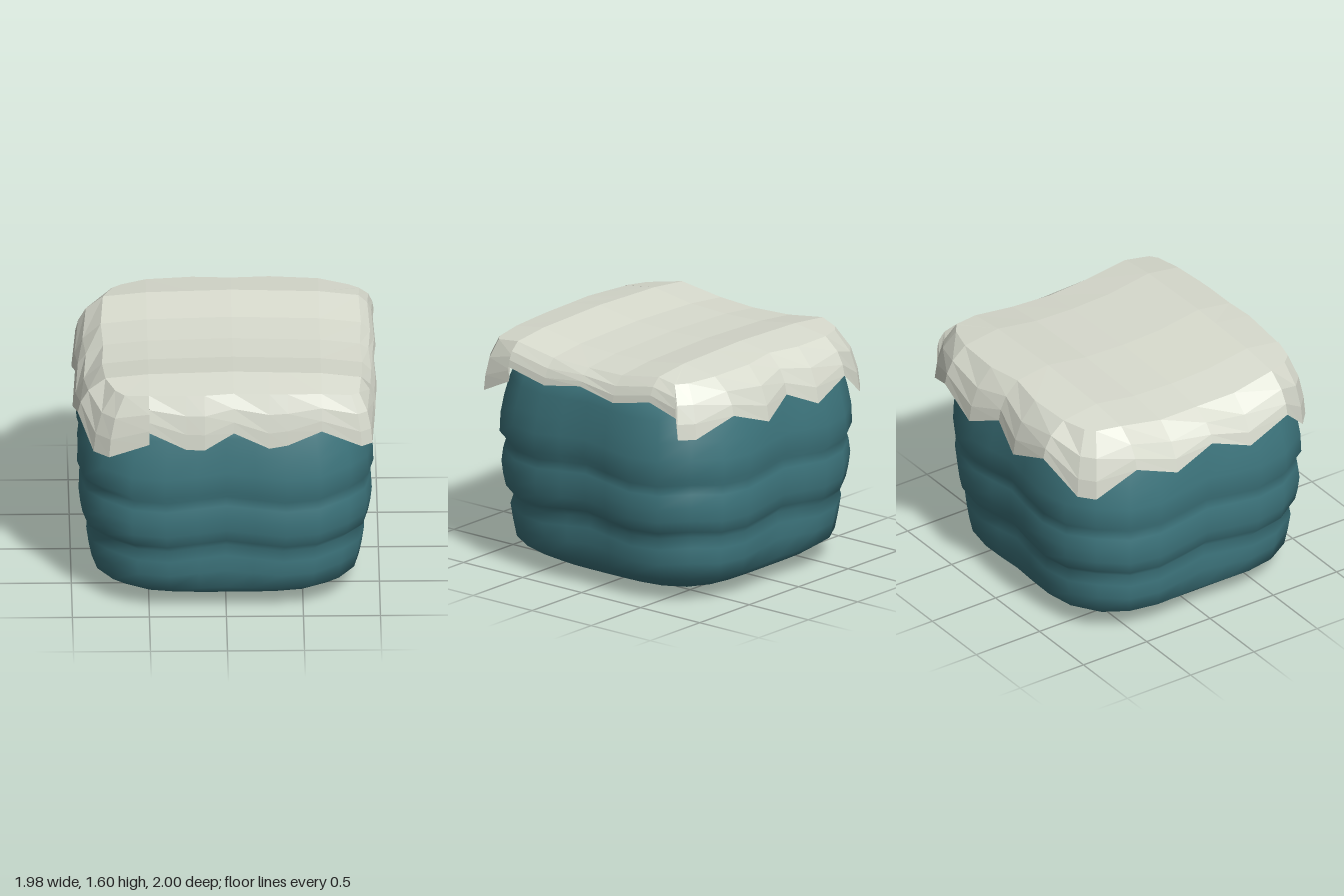
import * as THREE from 'three';

const lerp = (a, b, t) => a + (b - a) * t;
const clamp = THREE.MathUtils.clamp;

// piecewise linear lookup in a list of [key, value]
function lookup(table, k) {
  if (k <= table[0][0]) return table[0][1];
  for (let i = 1; i < table.length; i++) {
    const [a, va] = table[i - 1], [b, vb] = table[i];
    if (k <= b) return lerp(va, vb, (k - a) / (b - a));
  }
  return table[table.length - 1][1];
}

// Layered rock block: rounded-square rings stacked along a bulging profile
function makeRock(material) {
  const profile = [
    [0.05, 0.70], [0.09, 0.78], [0.16, 0.875], [0.27, 0.895], [0.38, 0.91], [0.45, 0.89],
    [0.50, 0.935], [0.58, 0.95], [0.67, 0.96], [0.76, 0.95], [0.82, 0.935], [0.87, 0.97],
    [1.0, 0.965], [1.12, 0.945], [1.25, 0.915], [1.4, 0.865], [1.44, 0.7],
  ];
  const N = 32, zMid = 0.04, power = 3.9;
  const pos = [0, 0.0, zMid], idx = [];
  for (const [y, half] of profile) {
    const layered = clamp((y - 0.1) / 0.2, 0, 1) * clamp((1.35 - y) / 0.2, 0, 1);
    for (let i = 0; i < N; i++) {
      const a = (i / N) * Math.PI * 2;
      const c = Math.sin(a), s = Math.cos(a);
      const k = Math.pow(Math.abs(c) ** power + Math.abs(s) ** power, -1 / power);
      const u = Math.min(Math.abs(c), Math.abs(s)) * k;
      // shallow hollow in the middle of each side, ridges rising towards it
      const r = k * (half - 0.035 * layered * Math.exp(-((u / 0.2) ** 2)));
      const dy = 0.02 * layered * Math.cos(u * Math.PI * 2);
      pos.push(c * r, y + dy, zMid + s * r);
    }
  }
  const rings = profile.length, top = pos.length / 3;
  pos.push(0, 1.44, zMid);
  const at = (r, i) => 1 + r * N + (i % N);
  for (let i = 0; i < N; i++) {
    idx.push(0, at(0, i + 1), at(0, i));
    idx.push(top, at(rings - 1, i), at(rings - 1, i + 1));
    for (let r = 0; r < rings - 1; r++) {
      idx.push(at(r, i), at(r, i + 1), at(r + 1, i + 1), at(r, i), at(r + 1, i + 1), at(r + 1, i));
    }
  }
  const geo = new THREE.BufferGeometry();
  geo.setAttribute('position', new THREE.Float32BufferAttribute(pos, 3));
  geo.setIndex(idx);
  geo.computeVertexNormals();
  const mesh = new THREE.Mesh(geo, material);
  mesh.name = 'rockBlock';
  return mesh;
}

// Snow cap: faceted top grid, rounded shoulder and a jagged hanging rim
function makeSnow(material) {
  const xs = [-0.5, -0.2, 0.05, 0.33, 0.62];
  const zs = [-0.55, -0.25, 0.04, 0.33, 0.64];
  const heights = [
    [-0.82, 1.56], [-0.55, 1.597], [-0.25, 1.55], [0.04, 1.54],
    [0.33, 1.55], [0.64, 1.597], [0.88, 1.56],
  ];
  const sideDrop = [[-0.8, 0.045], [-0.5, 0.015], [0.05, 0], [0.62, 0.015], [0.88, 0.045]];
  // rim points, front then right, back, left: [x, z, height of the lower edge]
  const rim = [
    [-0.76, 0.92, 1.12], [-0.5, 0.965, 1.23], [-0.5, 0.955, 1.31], [-0.26, 0.98, 1.2], [-0.14, 0.99, 1.2],
    [0.05, 0.965, 1.31], [0.28, 0.97, 1.2], [0.4, 0.965, 1.22], [0.62, 0.945, 1.31], [0.88, 0.92, 1.19],
    [0.95, 0.87, 1.19], [0.97, 0.64, 1.3], [0.975, 0.64, 1.4], [0.985, 0.33, 1.34], [0.97, 0.04, 1.39],
    [0.985, -0.25, 1.34], [0.97, -0.55, 1.4], [0.98, -0.78, 1.34], [0.97, -0.79, 1.19],
    [0.88, -0.87, 1.19], [0.62, -0.97, 1.31], [0.3, -1, 1.2], [0.05, -0.94, 1.31], [-0.2, -1, 1.2],
    [-0.5, -0.97, 1.31], [-0.76, -0.88, 1.12],
    [-0.86, -0.8, 1.12], [-0.96, -0.55, 1.31], [-0.99, -0.25, 1.2], [-0.97, 0.04, 1.31],
    [-0.99, 0.33, 1.2], [-0.96, 0.64, 1.31], [-0.86, 0.83, 1.12],
  ];
  const topY = (x, z) => lookup(heights, z) - lookup(sideDrop, x);
  const pos = [];
  const quad = (a, b, c, d) => pos.push(...a, ...b, ...c, ...a, ...c, ...d);

  // middle of the top
  const p = (i, j) => [xs[i], topY(xs[i], zs[j]), zs[j]];
  for (let i = 0; i < 4; i++) {
    for (let j = 0; j < 4; j++) quad(p(i, j), p(i, j + 1), p(i + 1, j + 1), p(i + 1, j));
  }

  // each rim point gives a column: inner grid edge, brow, shoulder, side, lower edge
  const columns = rim.map(([x, z, low]) => {
    const cx = clamp(x, xs[0], xs[4]), cz = clamp(z, zs[0], zs[4]);
    const tx = x > 0 ? 0.74 : 0.61, tz = z > 0 ? 0.76 : 0.62;
    const bx = lerp(cx, x, tx), bz = lerp(cz, z, tz), brow = topY(bx, bz);
    const column = [[cx, topY(cx, cz), cz], [bx, brow, bz]];
    for (const [t, drop] of [[0.62, 0.35], [0.9, 0.7], [1, 1]]) {
      column.push([lerp(bx, x, t), lerp(brow, low, drop), lerp(bz, z, t)]);
    }
    return column;
  });
  columns.forEach((a, i) => {
    const b = columns[(i + 1) % columns.length];
    for (let r = 0; r < a.length - 1; r++) quad(a[r], a[r + 1], b[r + 1], b[r]);
  });

  const geo = new THREE.BufferGeometry();
  geo.setAttribute('position', new THREE.Float32BufferAttribute(pos, 3));
  geo.computeVertexNormals();
  const mesh = new THREE.Mesh(geo, material);
  mesh.name = 'snowCap';
  return mesh;
}

export function createModel() {
  const rock = new THREE.MeshStandardMaterial({ color: 0x3d757d });
  rock.name = 'teal rock';
  const snow = new THREE.MeshStandardMaterial({ color: 0xd8dbce, side: THREE.DoubleSide, flatShading: true });
  snow.name = 'pale snow';

  const group = new THREE.Group();
  group.name = 'snowyRockBlock';
  group.add(makeRock(rock), makeSnow(snow));
  return group;
}
